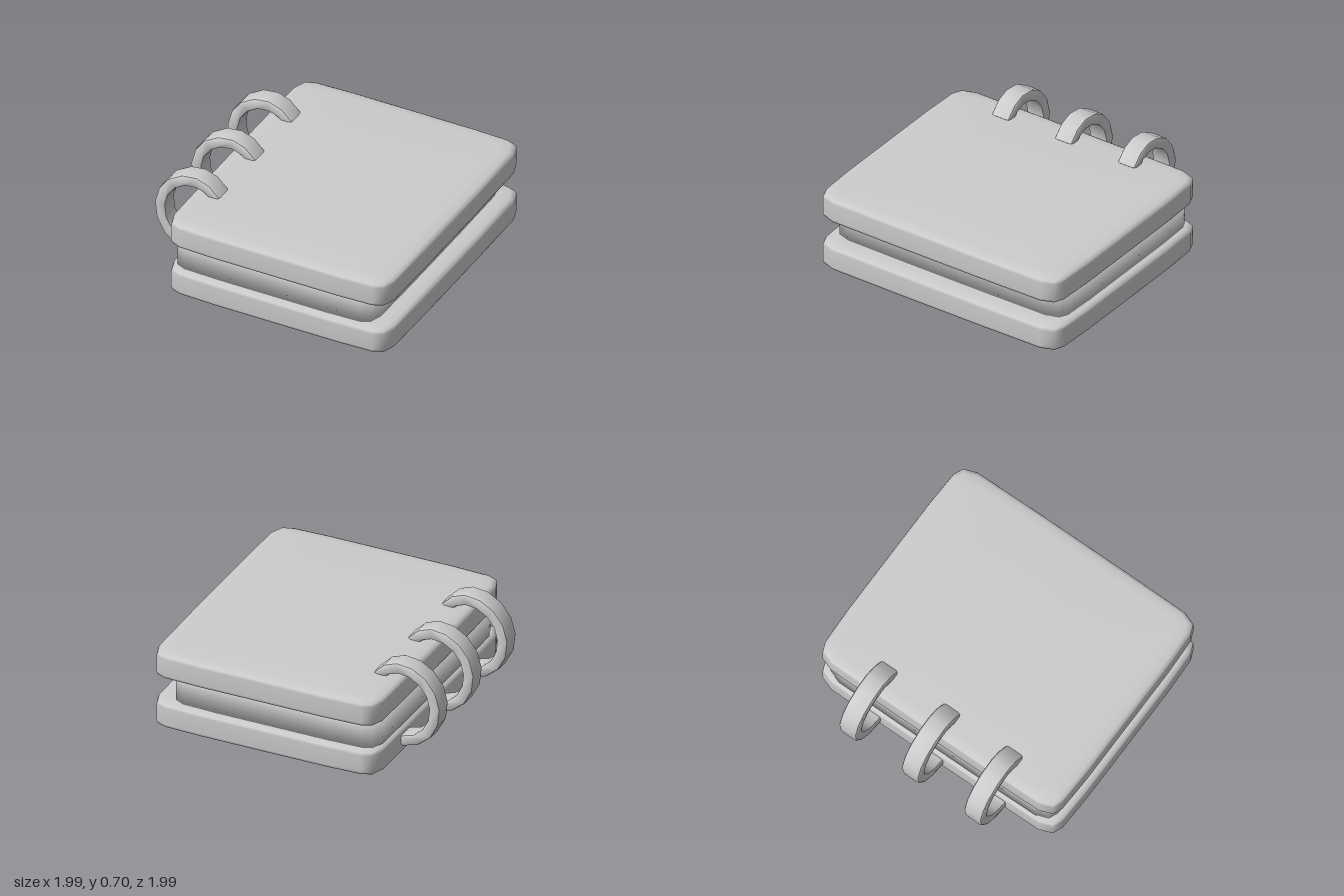
import * as THREE from 'three';
import { toCreasedNormals } from 'three/addons/utils/BufferGeometryUtils.js';

const material = new THREE.MeshStandardMaterial({ color: 0xcccccc });

// One quarter of a softly bulged rounded rectangle, in unit half sizes
const quarter = [[1, 0], [1, 0.35], [0.994, 0.864], [0.953, 0.96], [0.87, 0.99], [0.55, 1]];

// Full outline: the quarter turned and mirrored round the rectangle
function outline() {
  const q = quarter, back = [...q].reverse();
  return [
    ...q, [0, 1],
    ...back.map(([x, z]) => [-x, z]),
    ...q.slice(1).map(([x, z]) => [-x, -z]), [0, -1],
    ...back.slice(0, -1).map(([x, z]) => [x, -z]),
  ];
}

// Closed slab lofted through layers of [inset, height]
function slab(name, x0, x1, halfZ, y, layers) {
  const ring = outline(), n = ring.length;
  const cx = (x0 + x1) / 2, hx = (x1 - x0) / 2;
  const pos = [], idx = [];
  for (const [inset, h] of layers)
    for (const [x, z] of ring) pos.push(cx + x * (hx - inset), y + h, z * (halfZ - inset));
  for (let l = 0; l < layers.length - 1; l++)
    for (let i = 0; i < n; i++) {
      const a = l * n + i, b = l * n + (i + 1) % n;
      idx.push(a, a + n, b, b, a + n, b + n);
    }
  // Fans closing the bottom and the top
  const bottom = pos.length / 3, top = bottom + 1, last = (layers.length - 1) * n;
  pos.push(cx, y + layers[0][1], 0, cx, y + layers[layers.length - 1][1], 0);
  for (let i = 0; i < n; i++) {
    const j = (i + 1) % n;
    idx.push(bottom, i, j, top, last + j, last + i);
  }
  const geo = new THREE.BufferGeometry();
  geo.setAttribute('position', new THREE.Float32BufferAttribute(pos, 3));
  geo.setIndex(idx);
  geo.computeVertexNormals();
  const mesh = new THREE.Mesh(geo, material);
  mesh.name = name;
  return mesh;
}

// C-shaped binder ring, its ends sunk into the two covers
function ringGeometry() {
  const steps = 11, start = 40, end = 288;
  const arc = (rx, ry) => Array.from({ length: steps + 1 }, (_, i) => {
    const a = THREE.MathUtils.degToRad(start + (end - start) * i / steps);
    const c = Math.cos(a);
    return new THREE.Vector2(-0.7 + c * rx * (c > 0 ? 0.85 : 1), 0.383 + Math.sin(a) * ry);
  });
  const shape = new THREE.Shape([...arc(0.3, 0.317), ...arc(0.22, 0.235).reverse()]);
  const geo = new THREE.ExtrudeGeometry(shape, {
    depth: 0.1, bevelEnabled: true, bevelThickness: 0.022, bevelSize: 0.014,
    bevelOffset: -0.014, bevelSegments: 2,
  });
  geo.translate(0, 0, -0.05);
  return toCreasedNormals(geo, 0.7);
}

export function createModel() {
  const model = new THREE.Group();
  model.name = 'ringBinder';

  // Thick covers with soft edges and slightly domed faces
  const coverLayers = [
    [0.5, 0], [0.09, 0.003], [0.03, 0.01], [0.006, 0.02], [0, 0.04],
    [0, 0.165], [0.006, 0.183], [0.03, 0.195], [0.09, 0.202], [0.5, 0.212],
  ];
  model.add(slab('bottomCover', -0.715, 0.987, 0.997, 0, coverLayers));
  model.add(slab('topCover', -0.715, 0.987, 0.997, 0.378, coverLayers));

  // Block of pages between the covers
  model.add(slab('pages', -0.688, 0.86, 0.945, 0.18, [[0, 0], [0, 0.22]]));

  // Three rings along the spine
  const geo = ringGeometry();
  for (const z of [-0.52, 0, 0.52]) {
    const ring = new THREE.Mesh(geo, material);
    ring.name = 'binderRing';
    ring.position.z = z;
    model.add(ring);
  }
  return model;
}
